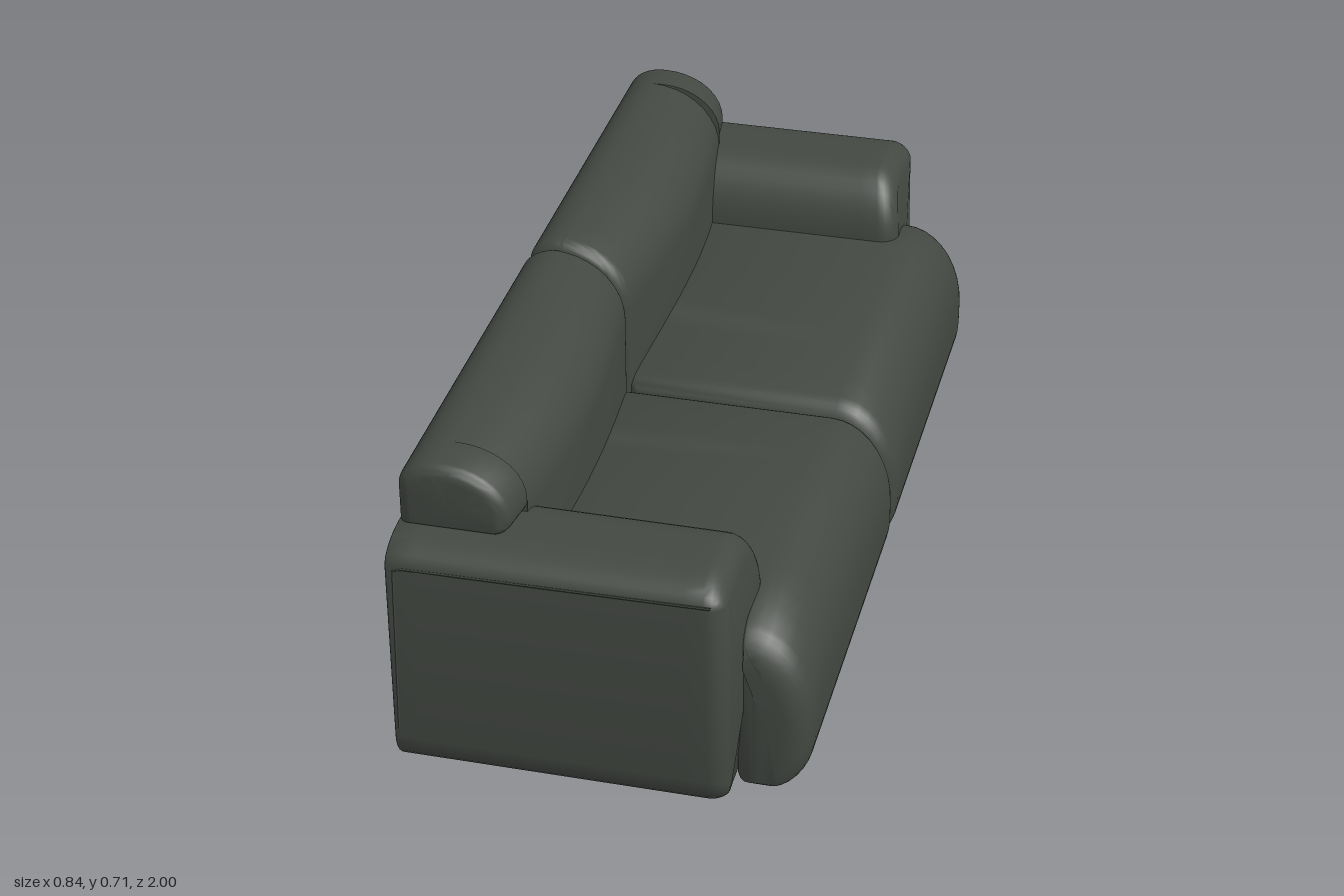
import * as THREE from 'three';
import { toCreasedNormals } from 'three/addons/utils/BufferGeometryUtils.js';

// Rounded rectangle, counter-clockwise from bottom right.
// corners: [rx, ry] for bottom right, top right, top left, bottom left; d insets the outline.
function ring(x0, x1, y0, y1, corners, d) {
  const pts = [], n = 9;
  corners.forEach(([rx, ry], c) => {
    const right = c < 2, top = c === 1 || c === 2;
    const a = Math.max(rx - d, 0.004), b = Math.max(ry - d, 0.004);
    const cx = right ? x1 - d - a : x0 + d + a;
    const cy = top ? y1 - d - b : y0 + d * 0.4 + b;
    for (let i = 0; i <= n; i++) {
      const t = (c - 1 + i / n) * Math.PI / 2;
      pts.push([cx + a * Math.cos(t), cy + b * Math.sin(t)]);
    }
  });
  return pts;
}

// Stations from z0 to z1 with rounded ends of radius r0 and r1, and extra stations in between
function stations(z0, z1, r0, r1, extra = []) {
  const start = [], mid = [], end = [], n = 7, m = 14;
  for (let k = 0; k <= n; k++) {
    const t = k / n * Math.PI / 2, c = 1 - Math.cos(t), s = 1 - Math.sin(t);
    start.push({ z: z0 + r0 * c, d: r0 * s });
    end.unshift({ z: z1 - r1 * c, d: r1 * s });
  }
  for (let k = 1; k < m; k++) mid.push(z0 + r0 + (z1 - r1 - z0 - r0) * k / m);
  mid.push(...extra);
  mid.sort((a, b) => a - b);
  return [...start, ...mid.map(z => ({ z, d: 0 })), ...end];
}

// Skin a run of rings along z and close both ends
function loft(list, outline) {
  const pos = [], index = [];
  let n = 0;
  const rings = list.map(({ z, d }) => {
    const r = outline(z, d);
    n = r.length;
    r.forEach(([x, y]) => pos.push(x, y, z));
    return r;
  });
  for (let i = 0; i < rings.length - 1; i++) {
    for (let j = 0; j < n; j++) {
      const a = i * n + j, b = i * n + (j + 1) % n;
      index.push(a, b, b + n, a, b + n, a + n);
    }
  }
  [0, rings.length - 1].forEach((i) => {
    const c = pos.length / 3;
    const mean = k => rings[i].reduce((s, p) => s + p[k], 0) / n;
    pos.push(mean(0), mean(1), list[i].z);
    for (let j = 0; j < n; j++) {
      const a = i * n + j, b = i * n + (j + 1) % n;
      if (i) index.push(c, a, b); else index.push(c, b, a);
    }
  });
  const g = new THREE.BufferGeometry();
  g.setAttribute('position', new THREE.Float32BufferAttribute(pos, 3));
  g.setIndex(index);
  return g;
}

// Mirror a geometry across z = 0, keeping its faces outward
function mirrorZ(geo) {
  const g = geo.clone().scale(1, 1, -1);
  const ix = g.index.array;
  for (let i = 0; i < ix.length; i += 3) [ix[i], ix[i + 1]] = [ix[i + 1], ix[i]];
  return g;
}

// Seat cushion: crowned top, with a front lip that wraps round the arm
function seatGeometry() {
  const jump = 0.73;
  const corners = [[0.08, 0.12], [0.14, 0.2], [0.02, 0.02], [0.02, 0.02]];
  return loft(stations(0.004, 0.9, 0.045, 0.055, [jump, jump + 0.001]), (z, d) => {
    const inner = Math.max(0, (0.5 - z) / 0.5), outer = Math.max(0, (z - 0.68) / 0.22);
    const top = 0.42 - 0.05 * inner ** 2 - 0.055 * outer ** 2;
    return ring(z > jump ? 0.26 : -0.2, 0.42, 0.012, top, corners, d);
  });
}

// Back cushion: full-height panel whose top roll runs on over the arm
function backGeometry() {
  const jump = 0.82;
  return loft(stations(0.004, 0.922, 0.03, 0.03, [jump, jump + 0.001]), (z, d) => {
    const roll = z > jump;
    const bulge = Math.sin(Math.PI * Math.min(z / 0.92, 1));
    const corners = roll
      ? [[0.03, 0.03], [0.14, 0.11], [0.08, 0.06], [0.012, 0.012]]
      : [[0.02, 0.02], [0.165, 0.15], [0.08, 0.06], [0.02, 0.02]];
    return ring(-0.42, -0.192 + 0.037 * bulge, roll ? 0.563 : 0.012, 0.71, corners, d);
  });
}

// Arm: rounded block running front to back, with a softly bowed front face
function armGeometry() {
  const corners = [[0.13, 0.1], [0.1, 0.05], [0.12, 0.16], [0.05, 0.05]];
  const g = loft(stations(-0.422, 0.283, 0.006, 0.045), (z, d) =>
    ring(0.7, 1, 0, 0.567, corners, d));
  g.rotateY(Math.PI / 2);
  const p = g.attributes.position;
  for (let i = 0; i < p.count; i++) {
    const x = p.getX(i), w = Math.max(0, (x - 0.15) / 0.133);
    p.setX(i, x - 0.03 * w * ((p.getY(i) - 0.28) / 0.28) ** 4);
  }
  return g;
}

// Stitched seam along the outer top edge and down the rear edge of an arm
function seamGeometry() {
  const path = new THREE.CurvePath();
  const pts = [[0.24, 0.525], [-0.405, 0.517], [-0.412, 0.12]]
    .map(([x, y]) => new THREE.Vector3(x, y, -0.9985));
  path.add(new THREE.LineCurve3(pts[0], pts[1]));
  path.add(new THREE.LineCurve3(pts[1], pts[2]));
  return new THREE.TubeGeometry(path, 40, 0.003, 6);
}

export function createModel() {
  const sofa = new THREE.Group();
  sofa.name = 'sofa';
  const leather = new THREE.MeshStandardMaterial({ color: 0x434842 });
  leather.name = 'dark green grey leather';

  const add = (name, geo, shift = 0) => {
    const mesh = new THREE.Mesh(toCreasedNormals(geo, 0.75), leather);
    mesh.name = name;
    mesh.position.z = shift;
    sofa.add(mesh);
  };

  // The pair of cushions meets just off the centre line
  const seam = -0.007;
  const seat = seatGeometry(), back = backGeometry();
  add('frontSeatCushion', seat, seam);
  add('rearSeatCushion', mirrorZ(seat), seam);
  add('frontBackCushion', back, seam);
  add('rearBackCushion', mirrorZ(back), seam);

  const arm = armGeometry(), stitch = seamGeometry();
  add('rearArm', arm);
  add('frontArm', mirrorZ(arm));
  add('rearArmSeam', stitch);
  add('frontArmSeam', mirrorZ(stitch));
  return sofa;
}
